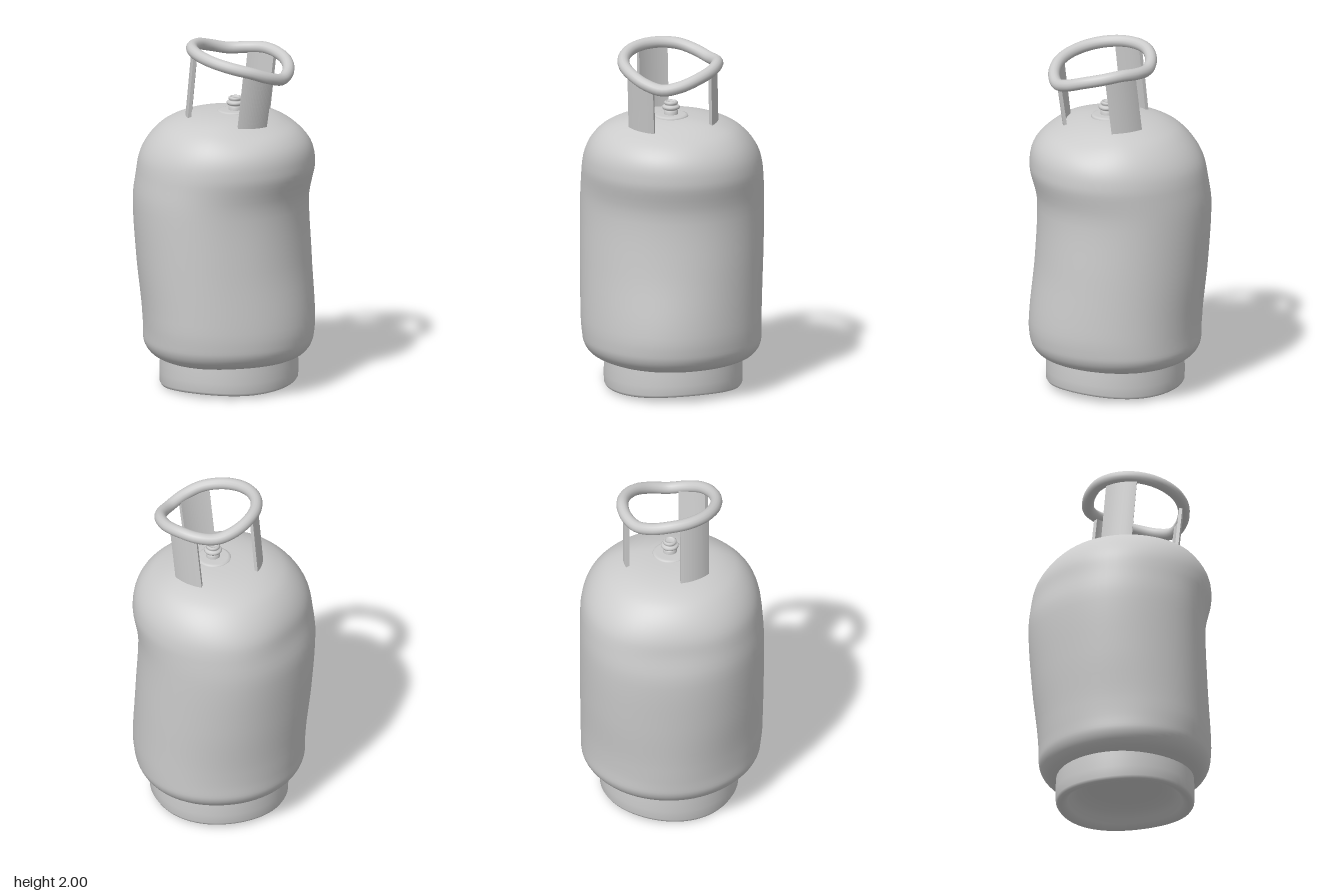
import * as THREE from 'three';
import { mergeVertices } from 'three/addons/utils/BufferGeometryUtils.js';

const V2 = (p) => new THREE.Vector2(p[0], p[1]);
const { smoothstep, degToRad } = THREE.MathUtils;
const material = new THREE.MeshStandardMaterial({ color: 0xcccccc, side: THREE.DoubleSide });

// Body radii at eight compass angles (from +x towards +z) for a few heights
const LEVELS = [
  [0.25, [0.505, 0.487, 0.50, 0.467, 0.465, 0.487, 0.515, 0.502]],
  [0.40, [0.512, 0.492, 0.512, 0.467, 0.472, 0.487, 0.515, 0.512]],
  [0.75, [0.472, 0.474, 0.52, 0.502, 0.50, 0.522, 0.52, 0.50]],
  [1.10, [0.46, 0.464, 0.52, 0.522, 0.513, 0.542, 0.52, 0.486]],
  [1.30, [0.507, 0.497, 0.507, 0.502, 0.48, 0.522, 0.517, 0.517]],
  [1.60, [0.50, 0.50, 0.50, 0.50, 0.50, 0.50, 0.50, 0.50]],
];
// Height of the grab ring at the same eight angles
const RING_Y = [1.82, 1.882, 1.932, 1.962, 1.955, 1.903, 1.912, 1.872];

function cubic(a, b, c, d, t) {
  return b + 0.5 * t * (c - a + t * (2 * a - 5 * b + 4 * c - d + t * (3 * (b - c) + d - a)));
}

// Smooth periodic lookup around the circle
function around(list, angle) {
  const n = list.length;
  const u = (((angle / (Math.PI * 2)) % 1) + 1) % 1 * n;
  const i = Math.floor(u);
  const at = (k) => list[(k + n) % n];
  return cubic(at(i - 1), at(i), at(i + 1), at(i + 2), u - i);
}

function bodyRadius(y, angle) {
  const last = LEVELS.length - 1;
  if (y <= LEVELS[0][0]) return around(LEVELS[0][1], angle);
  if (y >= LEVELS[last][0]) return around(LEVELS[last][1], angle);
  let i = 0;
  while (y > LEVELS[i + 1][0]) i++;
  const t = (y - LEVELS[i][0]) / (LEVELS[i + 1][0] - LEVELS[i][0]);
  const at = (k) => around(LEVELS[Math.min(last, Math.max(0, k))][1], angle);
  return cubic(at(i - 1), at(i), at(i + 1), at(i + 2), t);
}

// Lathe whose vertices are moved by a rule, with seamless smooth normals
function warpedLathe(points, segments, rule) {
  let geo = new THREE.LatheGeometry(points, segments);
  const pos = geo.attributes.position;
  for (let i = 0; i < pos.count; i++) {
    const x = pos.getX(i), y = pos.getY(i), z = pos.getZ(i);
    pos.setXYZ(i, ...rule(Math.hypot(x, z), y, Math.atan2(z, x)));
  }
  geo.deleteAttribute('uv');
  geo.deleteAttribute('normal');
  geo = mergeVertices(geo, 1e-5);
  geo.computeVertexNormals();
  return geo;
}

export function createModel() {
  const model = new THREE.Group();
  const add = (name, geometry, parent = model) => {
    const mesh = new THREE.Mesh(geometry, material);
    mesh.name = name;
    parent.add(mesh);
    return mesh;
  };

  // Dented tank body, its dome leaning and dropping towards +x
  const profile = [
    [0, 0.16], [0.2, 0.16], [0.34, 0.165], [0.41, 0.182], [0.46, 0.21], [0.493, 0.26],
    [0.5, 0.33], [0.5, 0.5], [0.5, 0.75], [0.5, 1.0], [0.5, 1.2], [0.498, 1.3], [0.483, 1.38],
    [0.45, 1.45], [0.40, 1.508], [0.34, 1.546], [0.26, 1.575], [0.15, 1.593], [0, 1.6],
  ].map(V2);
  const bodyPoints = new THREE.SplineCurve(profile).getPoints(72);
  bodyPoints[0].x = bodyPoints[72].x = 0;
  add('tankBody', warpedLathe(bodyPoints, 64, (r, y, a) => {
    const R = r * bodyRadius(y, a) / 0.5;
    const dome = smoothstep(y, 1.3, 1.55);
    const x = R * Math.cos(a) + 0.03 * dome;
    return [x, y - 0.022 * dome * smoothstep(x, 0.1, 0.35), R * Math.sin(a)];
  }));

  // Foot ring with a wavy lower rim that rolls inwards into a shallow bowl
  const footPoints = [
    [0, 0.13], [0.12, 0.127], [0.21, 0.112], [0.27, 0.085], [0.305, 0.055], [0.325, 0.025],
    [0.345, 0.006], [0.365, 0], [0.383, 0.006], [0.392, 0.022], [0.393, 0.08], [0.392, 0.14],
    [0.388, 0.22],
  ].map(V2);
  const foot = add('footRing', warpedLathe(footPoints, 64, (r, y, a) => {
    const wave = 0.01 * Math.cos(a) - 0.006 * Math.sin(a) - 0.007 * Math.sin(3 * a);
    const lift = (0.016 + wave * smoothstep(r, 0, 0.3)) * (1 - y / 0.24);
    return [r * Math.cos(a), Math.max(0, y + lift), r * Math.sin(a)];
  }));
  foot.position.set(0.02, 0, -0.015);

  // Valve and its flange
  const valve = new THREE.Group();
  valve.name = 'valveAssembly';
  valve.position.set(0.06, 1.582, -0.01);
  model.add(valve);
  const flange = [[0.1, -0.02], [0.1, 0.01], [0.094, 0.02], [0.08, 0.024], [0, 0.024]];
  add('valveFlange', new THREE.LatheGeometry(flange.map(V2), 40), valve);
  const stem = [
    [0.04, 0.015], [0.04, 0.042], [0.032, 0.045], [0.032, 0.051], [0.046, 0.055], [0.05, 0.061],
    [0.05, 0.069], [0.045, 0.074], [0.034, 0.076], [0.034, 0.082], [0.039, 0.085], [0.039, 0.094],
    [0.033, 0.1], [0.026, 0.1], [0.024, 0.092], [0, 0.092],
  ];
  const stemMesh = add('valveStem', new THREE.LatheGeometry(stem.map(V2), 32), valve);
  stemMesh.position.x = 0.006;

  // Bent grab ring
  const ringPath = [];
  for (let i = 0; i < 16; i++) {
    const a = (i / 16) * Math.PI * 2;
    ringPath.push(new THREE.Vector3(
      0.097 + 0.276 * Math.cos(a), around(RING_Y, a), -0.012 + 0.266 * Math.sin(a)));
  }
  const ringCurve = new THREE.CatmullRomCurve3(ringPath, true);
  add('grabRing', new THREE.TubeGeometry(ringCurve, 72, 0.034, 14, true));

  // Three curved straps leaning towards +x: [name, angle, x offset, z offset, foot height]
  const straps = [
    ['leftStrap', 30, 0.043, 0, 1.545],
    ['rightStrap', 150, 0.058, 0, 1.56],
    ['backStrap', 270, 0.05, -0.004, 1.56],
  ];
  for (const [name, degrees, dx, dz, bottom] of straps) {
    const mid = -degToRad(degrees), half = 0.35;
    const shape = new THREE.Shape();
    shape.absarc(0, 0, 0.272, mid - half, mid + half, false);
    shape.absarc(0, 0, 0.252, mid + half, mid - half, true);
    const geo = new THREE.ExtrudeGeometry(shape, { depth: 1, bevelEnabled: false, curveSegments: 10 });
    geo.rotateX(-Math.PI / 2);
    const pos = geo.attributes.position;
    for (let i = 0; i < pos.count; i++) {
      const x = pos.getX(i), t = pos.getY(i), z = pos.getZ(i);
      const top = around(RING_Y, Math.atan2(z, x));
      pos.setXYZ(i, x + dx + 0.042 * t, bottom + t * (top - bottom), z + dz);
    }
    geo.computeVertexNormals();
    add(name, geo);
  }

  return model;
}
